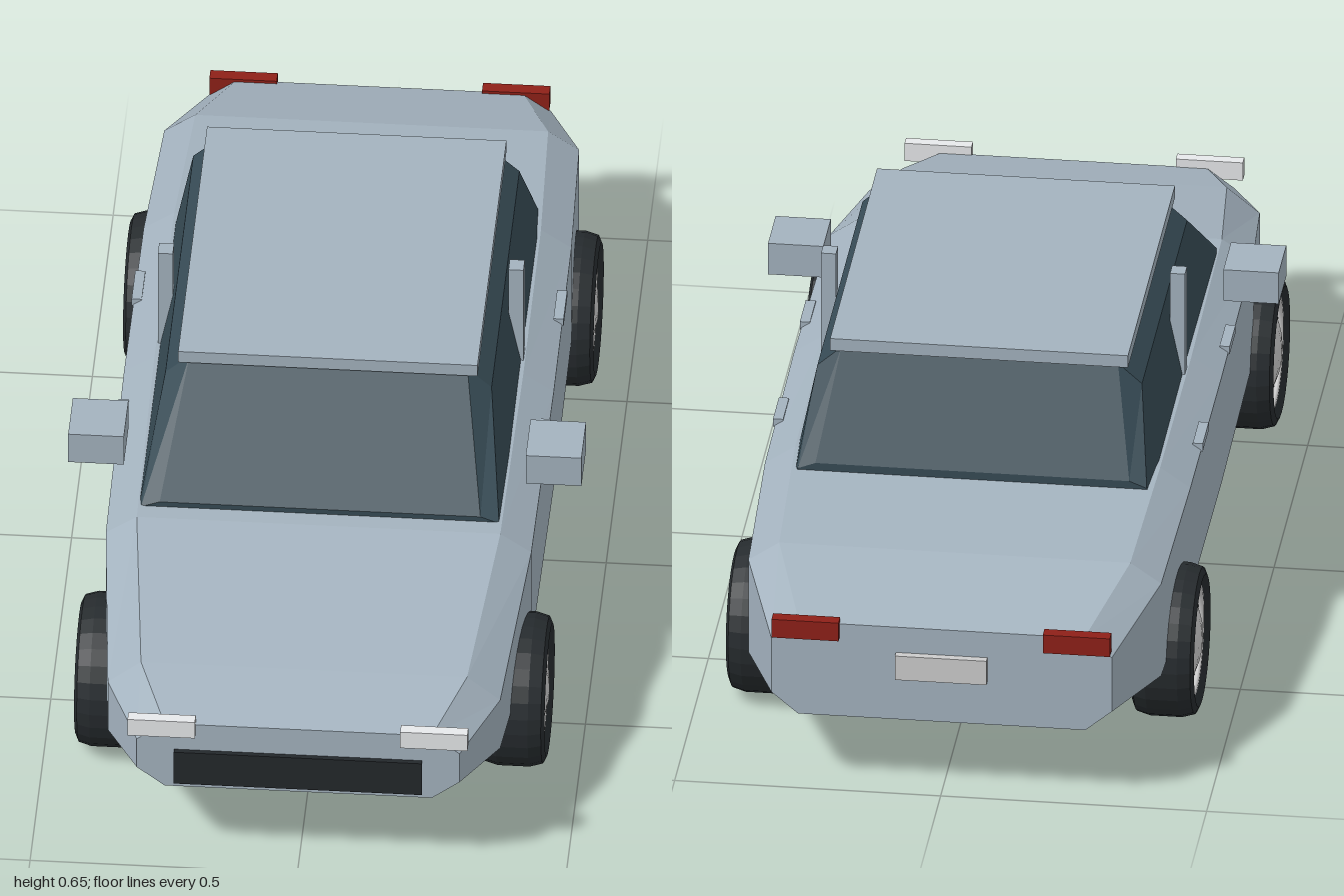
import * as THREE from 'three';

const mat = (color, flatShading = true) => new THREE.MeshStandardMaterial({ color, flatShading });

// Skin a run of mirrored cross-sections, ordered front to back.
// Each station is [z, [x, y], ...] listing its +x side from bottom to top.
function loft(stations) {
  const rings = stations.map(([z, ...half]) => [
    ...half.map(([x, y]) => [x, y, z]),
    ...half.map(([x, y]) => [-x, y, z]).reverse(),
  ]);
  const n = rings[0].length;
  const out = [];
  const tri = (a, b, c) => out.push(...a, ...b, ...c);
  for (let i = 0; i < rings.length - 1; i++) {
    for (let j = 0; j < n; j++) {
      const k = (j + 1) % n;
      const [a, b, c, d] = [rings[i][j], rings[i][k], rings[i + 1][j], rings[i + 1][k]];
      tri(a, c, b);
      tri(b, c, d);
    }
  }
  const first = rings[0], last = rings[rings.length - 1];
  for (let j = 1; j < n - 1; j++) {
    tri(first[0], first[j], first[j + 1]);
    tri(last[0], last[j + 1], last[j]);
  }
  const geo = new THREE.BufferGeometry();
  geo.setAttribute('position', new THREE.Float32BufferAttribute(out, 3));
  geo.computeVertexNormals();
  return geo;
}

export function createModel() {
  const car = new THREE.Group();
  car.name = 'car';
  const paint = mat(0xa3b2be);
  const glass = mat(0x364a54);
  const black = mat(0x23282b);
  const rubber = mat(0x262b2e);
  const lamp = mat(0xe6e8ea);
  const red = mat(0x8e2018);
  const plateGrey = mat(0xcccccc);
  const metal = mat(0xcccccc);
  const white = mat(0xf4f4f4, false);

  const add = (name, geo, material, parent = car) => {
    const mesh = new THREE.Mesh(geo, material);
    mesh.name = name;
    parent.add(mesh);
    return mesh;
  };
  // Box given by its limits on each axis
  const box = (name, [x0, x1], [y0, y1], [z0, z1], material) => {
    const mesh = add(name, new THREE.BoxGeometry(x1 - x0, y1 - y0, z1 - z0), material);
    mesh.position.set((x0 + x1) / 2, (y0 + y1) / 2, (z0 + z1) / 2);
  };
  const pair = (name, [x0, x1], y, z, material) => {
    box(name + 'Left', [x0, x1], y, z, material);
    box(name + 'Right', [-x1, -x0], y, z, material);
  };

  // Body shell: floor edge, sill, shoulder, deck edge
  add('body', loft([
    [0.98, [0.25, 0.177], [0.302, 0.217], [0.302, 0.283], [0.25, 0.322]],
    [0.84, [0.31, 0.165], [0.367, 0.195], [0.367, 0.307], [0.305, 0.357]],
    [0.49, [0.32, 0.132], [0.398, 0.175], [0.398, 0.39], [0.34, 0.43]],
    [0, [0.32, 0.132], [0.402, 0.175], [0.402, 0.397], [0.345, 0.435]],
    [-0.45, [0.32, 0.132], [0.4, 0.175], [0.4, 0.393], [0.343, 0.432]],
    [-0.79, [0.32, 0.132], [0.388, 0.172], [0.388, 0.365], [0.33, 0.405]],
    [-0.985, [0.27, 0.15], [0.32, 0.192], [0.32, 0.305], [0.268, 0.343]],
  ]), paint);

  // Glass cabin with bevelled upper edges
  add('cabinGlass', loft([
    [0.455, [0.342, 0.41], [0.335, 0.428], [0.3, 0.441]],
    [0.25, [0.342, 0.41], [0.305, 0.59], [0.26, 0.63]],
    [-0.42, [0.342, 0.41], [0.305, 0.59], [0.26, 0.63]],
    [-0.53, [0.335, 0.41], [0.328, 0.428], [0.295, 0.441]],
  ]), glass);

  // Roof, pillars, mirrors and door handles
  box('roof', [-0.28, 0.28], [0.627, 0.652], [-0.43, 0.267], paint);
  pair('doorPillar', [0.314, 0.342], [0.425, 0.645], [-0.074, -0.042], paint);
  pair('mirror', [0.376, 0.48], [0.437, 0.502], [0.228, 0.34], paint);
  pair('frontDoorHandle', [0.385, 0.404], [0.392, 0.408], [0.1, 0.188], paint);
  pair('rearDoorHandle', [0.385, 0.404], [0.392, 0.408], [-0.298, -0.21], paint);

  // Nose and tail details
  box('grille', [-0.232, 0.232], [0.19, 0.263], [0.965, 0.99], black);
  pair('headlight', [0.192, 0.318], [0.303, 0.34], [0.975, 0.997], lamp);
  pair('tailLight', [0.192, 0.318], [0.314, 0.352], [-1, -0.975], red);
  box('rearPlate', [-0.086, 0.086], [0.24, 0.29], [-1, -0.98], plateGrey);

  // Wheels: closed tyre profile spun about the axle, light rim and domed hub
  const profile = [
    [0.105, -0.05], [0.125, -0.06], [0.138, -0.054], [0.145, -0.03], [0.145, 0.03],
    [0.138, 0.054], [0.125, 0.06], [0.105, 0.05], [0.105, -0.05],
  ].map(([r, h]) => new THREE.Vector2(r, h));
  const tyreGeo = new THREE.LatheGeometry(profile, 28).rotateZ(-Math.PI / 2);
  const rimGeo = new THREE.TorusGeometry(0.105, 0.006, 6, 32).rotateY(Math.PI / 2);
  const hubGeo = new THREE.SphereGeometry(0.102, 20, 14).scale(0.56, 1, 1);
  for (const [side, sx] of [['Left', 1], ['Right', -1]]) {
    for (const [end, sz] of [['front', 1], ['rear', -1]]) {
      const wheel = new THREE.Group();
      wheel.name = end + 'Wheel' + side;
      wheel.position.set(sx * 0.38, 0.147, sz * 0.59);
      add('tyre', tyreGeo, rubber, wheel);
      add('rim', rimGeo, white, wheel).position.x = sx * 0.045;
      add('hub', hubGeo, metal, wheel).position.x = sx * 0.003;
      car.add(wheel);
    }
  }
  return car;
}
